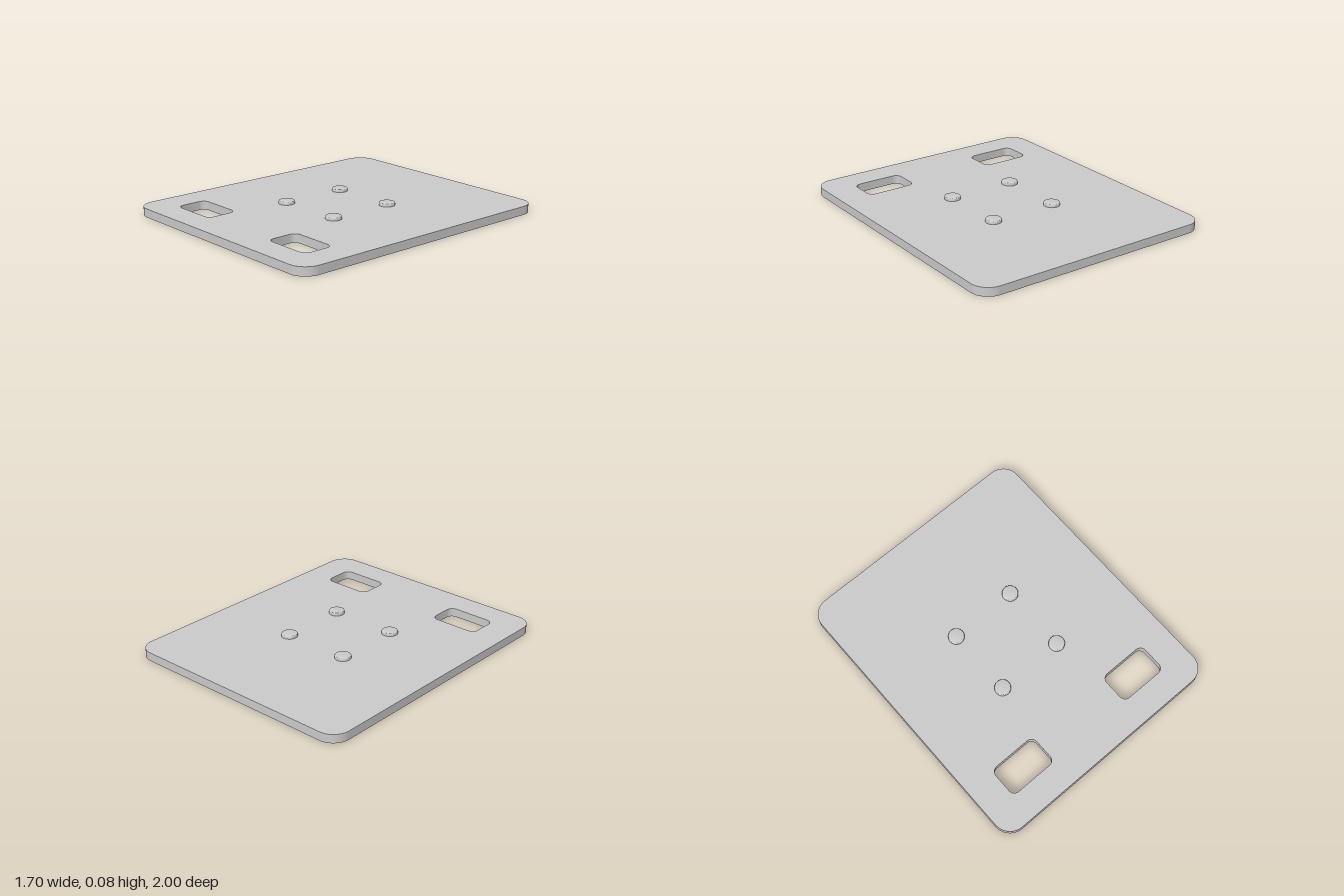
import * as THREE from 'three';
import { toCreasedNormals } from 'three/addons/utils/BufferGeometryUtils.js';

const THICKNESS = 0.058;

// Traces a rounded rectangle centred on (cx, cy)
function roundedRect(path, cx, cy, w, h, r) {
  const x = w / 2 - r, y = h / 2 - r;
  path.absarc(cx + x, cy + y, r, 0, Math.PI / 2);
  path.absarc(cx - x, cy + y, r, Math.PI / 2, Math.PI);
  path.absarc(cx - x, cy - y, r, Math.PI, Math.PI * 1.5);
  path.absarc(cx + x, cy - y, r, Math.PI * 1.5, Math.PI * 2);
  path.closePath();
  return path;
}

export function createModel() {
  const group = new THREE.Group();
  group.name = 'slottedPlate';
  const material = new THREE.MeshStandardMaterial({ color: 0xcccccc });

  // Plate with two rounded slots near the front edge
  const outline = roundedRect(new THREE.Shape(), 0, 0, 1.7, 2, 0.12);
  for (const side of [-1, 1]) {
    outline.holes.push(roundedRect(new THREE.Path(), side * 0.473, 0.709, 0.342, 0.213, 0.045));
  }
  const plateGeometry = new THREE.ExtrudeGeometry(outline, {
    depth: THICKNESS, bevelEnabled: false, curveSegments: 12,
  });
  plateGeometry.rotateX(Math.PI / 2).translate(0, THICKNESS, 0);
  const plate = new THREE.Mesh(toCreasedNormals(plateGeometry, 0.5), material);
  plate.name = 'plate';
  group.add(plate);

  // Four round studs with softened top edges
  const radius = 0.054, top = 0.08, fillet = 0.008;
  const profile = [new THREE.Vector2(radius, THICKNESS)];
  for (let i = 0; i <= 4; i++) {
    const a = (i / 4) * Math.PI / 2;
    profile.push(new THREE.Vector2(
      radius - fillet + fillet * Math.cos(a), top - fillet + fillet * Math.sin(a)));
  }
  profile.push(new THREE.Vector2(0, top));
  const studGeometry = toCreasedNormals(new THREE.LatheGeometry(profile, 40), 0.5);
  for (const x of [-0.233, 0.233]) {
    for (const z of [-0.233, 0.233]) {
      const stud = new THREE.Mesh(studGeometry, material);
      stud.name = 'stud';
      stud.position.set(x, 0, z);
      group.add(stud);
    }
  }
  return group;
}
